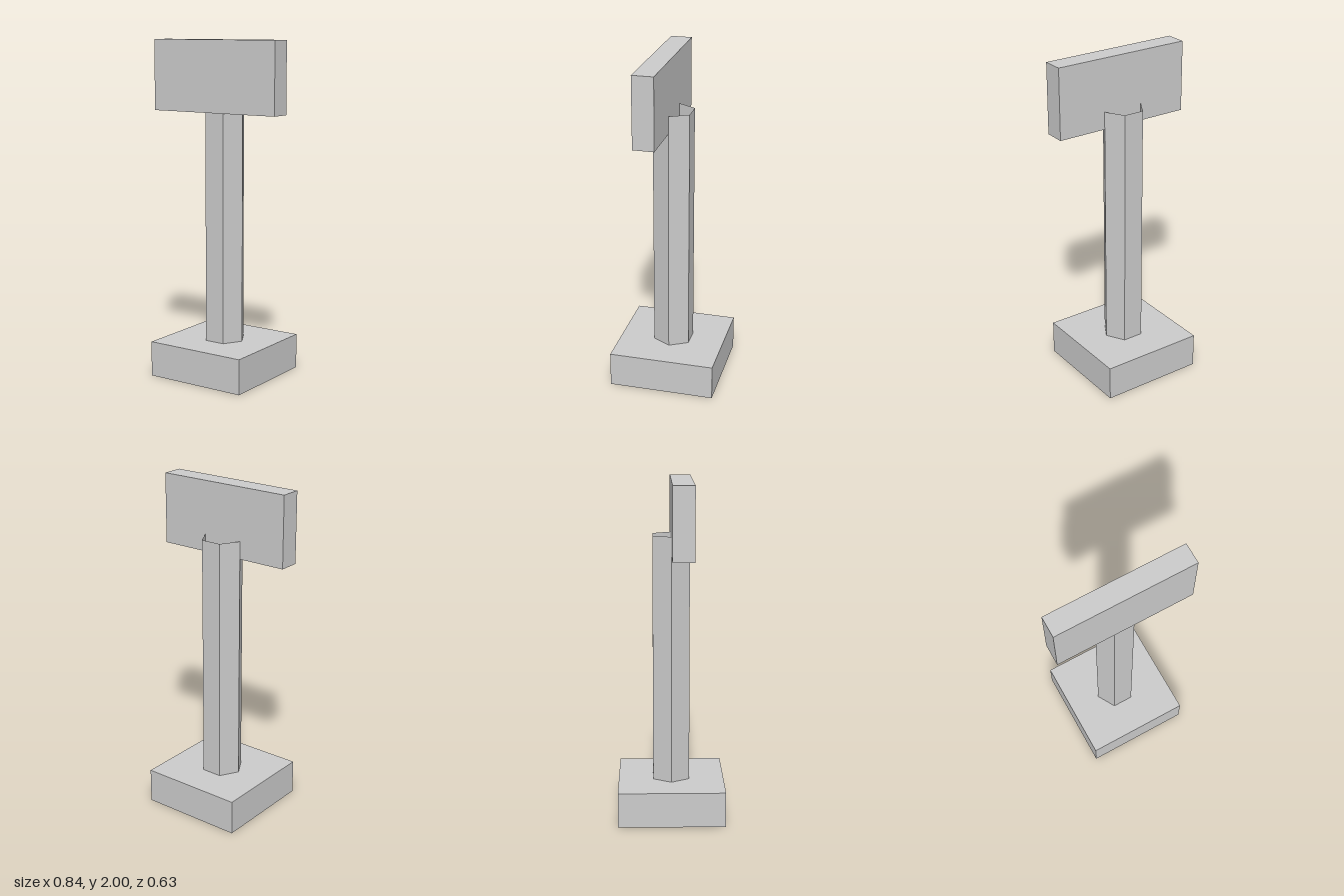
import * as THREE from 'three';

export function createModel() {
  const group = new THREE.Group();
  group.name = 'signpost';
  const material = new THREE.MeshStandardMaterial({ color: 0xcccccc, flatShading: true });
  const openMaterial = material.clone();
  openMaterial.side = THREE.DoubleSide;

  function add(name, geometry, mat, x, y, z) {
    const mesh = new THREE.Mesh(geometry, mat);
    mesh.name = name;
    mesh.position.set(x, y, z);
    group.add(mesh);
    return mesh;
  }

  const baseHeight = 0.21;
  const postTop = 1.685;
  const postHeight = postTop - baseHeight;
  const signHeight = 0.42;
  const signDepth = 0.125;

  // Square foot
  add('base', new THREE.BoxGeometry(0.632, baseHeight, 0.632), material, 0, baseHeight / 2, 0);

  // Hollow six-sided post, open at the top, corners on the x axis
  const post = new THREE.CylinderGeometry(0.125, 0.125, postHeight, 6, 1, true, Math.PI / 2);
  add('post', post, openMaterial, 0, baseHeight + postHeight / 2, 0);

  // Sign board, its back on the post's centre plane
  const board = new THREE.BoxGeometry(0.842, signHeight, signDepth);
  add('signBoard', board, material, 0, 2 - signHeight / 2, signDepth / 2);

  return group;
}
